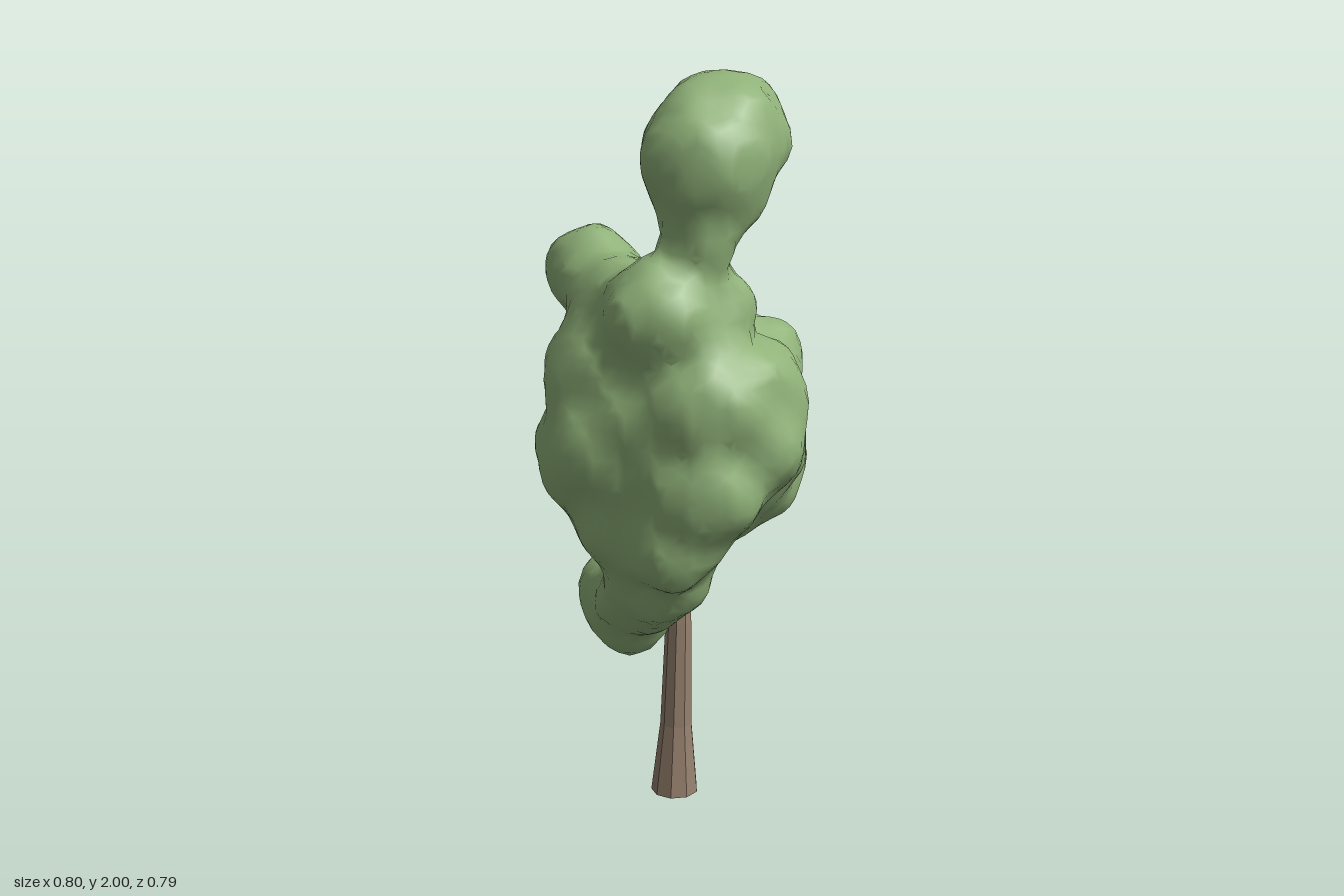
import * as THREE from 'three';

const bark = new THREE.MeshStandardMaterial({ color: 0x95806e, flatShading: true });
bark.name = 'bark brown';
const leaf = new THREE.MeshStandardMaterial({ color: 0x90b279 });
leaf.name = 'leaf green';

// Foliage clumps: x, y, z, radius
const clumps = [
  // crown top and neck
  [0.1, 1.84, -0.06, 0.15], [0.17, 1.8, 0.07, 0.16], [0.14, 1.84, 0, 0.16],
  [0.17, 1.7, 0.06, 0.12], [0.18, 1.6, 0.1, 0.085],
  // shoulders and side clump
  [-0.07, 1.39, 0.14, 0.135], [0.13, 1.41, 0.18, 0.155], [0.15, 1.41, 0.06, 0.13],
  [-0.28, 1.45, 0.08, 0.12], [-0.18, 1.4, 0.09, 0.115],
  // main body
  [0.03, 1.1, 0.1, 0.25], [-0.04, 1.04, 0.22, 0.175], [-0.13, 0.98, 0.19, 0.15], [0.25, 1.08, -0.01, 0.15],
  [0.22, 0.98, 0.12, 0.16], [0.2, 1.2, 0.1, 0.18], [-0.07, 1.24, 0.21, 0.15], [0.23, 1.2, -0.03, 0.14],
  // rear mass
  [-0.07, 1.2, -0.19, 0.13], [0.08, 1.21, -0.19, 0.13], [-0.01, 0.92, -0.22, 0.175], [0.01, 1.07, -0.18, 0.16],
  [0.03, 0.9, -0.09, 0.17], [0.13, 1.02, -0.11, 0.16], [0.02, 1.24, -0.06, 0.16],
  // underside and low clump
  [0.08, 0.84, 0.13, 0.17], [0.18, 0.82, 0.19, 0.11], [0.06, 0.69, 0.12, 0.13], [0, 0.86, 0.19, 0.14],
  [-0.02, 0.62, 0.13, 0.11], [-0.18, 0.57, 0.05, 0.125], [-0.13, 0.52, 0.07, 0.115],
];

// Signed distance to the blended clumps, with a gentle lumpiness
function distance(x, y, z) {
  const k = 0.022;
  let sum = 0;
  for (const [cx, cy, cz, r] of clumps) sum += Math.exp((r - Math.hypot(x - cx, y - cy, z - cz)) / k);
  const lumps = 0.012 * Math.sin(27 * x + 1) * Math.sin(25 * y) * Math.sin(26 * z + 2);
  return -k * Math.log(sum + 1e-30) + 0.002 + lumps;
}

// Skin a distance field: one vertex per crossed grid cell, one quad per crossed grid edge
function skin(field, origin, size, step) {
  const [nx, ny, nz] = size;
  const stride = [1, nx, nx * ny];
  const at = (i, j, k) => [origin[0] + i * step, origin[1] + j * step, origin[2] + k * step];
  const values = [];
  for (let k = 0; k < nz; k++)
    for (let j = 0; j < ny; j++)
      for (let i = 0; i < nx; i++) values.push(field(...at(i, j, k)));

  const positions = [], index = [], cellVertex = new Map();
  const corners = [0, 1, 2, 3, 4, 5, 6, 7].map((c) => [c & 1, (c >> 1) & 1, c >> 2]);
  for (let k = 0; k < nz - 1; k++)
    for (let j = 0; j < ny - 1; j++)
      for (let i = 0; i < nx - 1; i++) {
        const id = i + j * nx + k * nx * ny;
        const v = corners.map(([a, b, c]) => values[id + a + b * nx + c * nx * ny]);
        const p = new THREE.Vector3();
        let count = 0;
        for (let c = 0; c < 8; c++)
          for (let axis = 0; axis < 3; axis++) {
            const d = c | (1 << axis);
            if (d === c || (v[c] < 0) === (v[d] < 0)) continue;
            const e = corners[c].slice();
            e[axis] = v[c] / (v[c] - v[d]);
            p.add(new THREE.Vector3(...e));
            count++;
          }
        if (!count) continue;
        p.divideScalar(count);
        const q = new THREE.Vector3(...at(i + p.x, j + p.y, k + p.z));
        // pull the vertex onto the surface
        const h = 0.004, f = field(q.x, q.y, q.z);
        const g = new THREE.Vector3(field(q.x + h, q.y, q.z) - f, field(q.x, q.y + h, q.z) - f, field(q.x, q.y, q.z + h) - f);
        q.addScaledVector(g.normalize(), -f);
        cellVertex.set(id, positions.length / 3);
        positions.push(q.x, q.y, q.z);
      }

  for (let k = 1; k < nz - 1; k++)
    for (let j = 1; j < ny - 1; j++)
      for (let i = 1; i < nx - 1; i++) {
        const id = i + j * nx + k * nx * ny;
        for (let axis = 0; axis < 3; axis++) {
          const inside = values[id] < 0;
          if (inside === values[id + stride[axis]] < 0) continue;
          const b = stride[(axis + 1) % 3], c = stride[(axis + 2) % 3];
          const quad = [id - b - c, id - c, id, id - b].map((n) => cellVertex.get(n));
          if (!inside) quad.reverse();
          index.push(quad[0], quad[1], quad[2], quad[0], quad[2], quad[3]);
        }
      }

  const geometry = new THREE.BufferGeometry();
  geometry.setAttribute('position', new THREE.Float32BufferAttribute(positions, 3));
  geometry.setIndex(index);
  geometry.computeVertexNormals();
  return geometry;
}

// Tapered branch between two points
function branch(name, from, to, r0, r1) {
  const a = new THREE.Vector3(...from), b = new THREE.Vector3(...to);
  const dir = b.clone().sub(a);
  const mesh = new THREE.Mesh(new THREE.CylinderGeometry(r1, r0, dir.length(), 6), bark);
  mesh.position.copy(a).add(b).multiplyScalar(0.5);
  mesh.quaternion.setFromUnitVectors(new THREE.Vector3(0, 1, 0), dir.normalize());
  mesh.name = name;
  return mesh;
}

export function createModel() {
  const tree = new THREE.Group();
  tree.name = 'tree';

  // Flared trunk, leaning slightly back
  const profile = [[0, 0], [0.065, 0], [0.044, 0.2], [0.036, 0.5], [0.024, 0.72], [0.012, 1.0], [0, 1.0]];
  const trunkGeometry = new THREE.LatheGeometry(profile.map(([r, y]) => new THREE.Vector2(r, y)), 9);
  const p = trunkGeometry.attributes.position;
  for (let i = 0; i < p.count; i++) p.setZ(i, p.getZ(i) - 0.03 * p.getY(i));
  trunkGeometry.computeVertexNormals();
  const trunk = new THREE.Mesh(trunkGeometry, bark);
  trunk.position.x = -0.03;
  trunk.name = 'trunk';
  tree.add(trunk);

  // Branches reaching into the foliage
  tree.add(branch('rearBranch', [-0.03, 0.62, -0.02], [-0.04, 0.82, -0.1], 0.018, 0.01));
  tree.add(branch('sideBranch', [-0.03, 0.6, -0.01], [-0.07, 0.85, 0.08], 0.016, 0.01));

  const foliage = new THREE.Mesh(skin(distance, [-0.52, 0.32, -0.52], [27, 45, 27], 0.04), leaf);
  foliage.name = 'foliage';
  tree.add(foliage);
  return tree;
}
